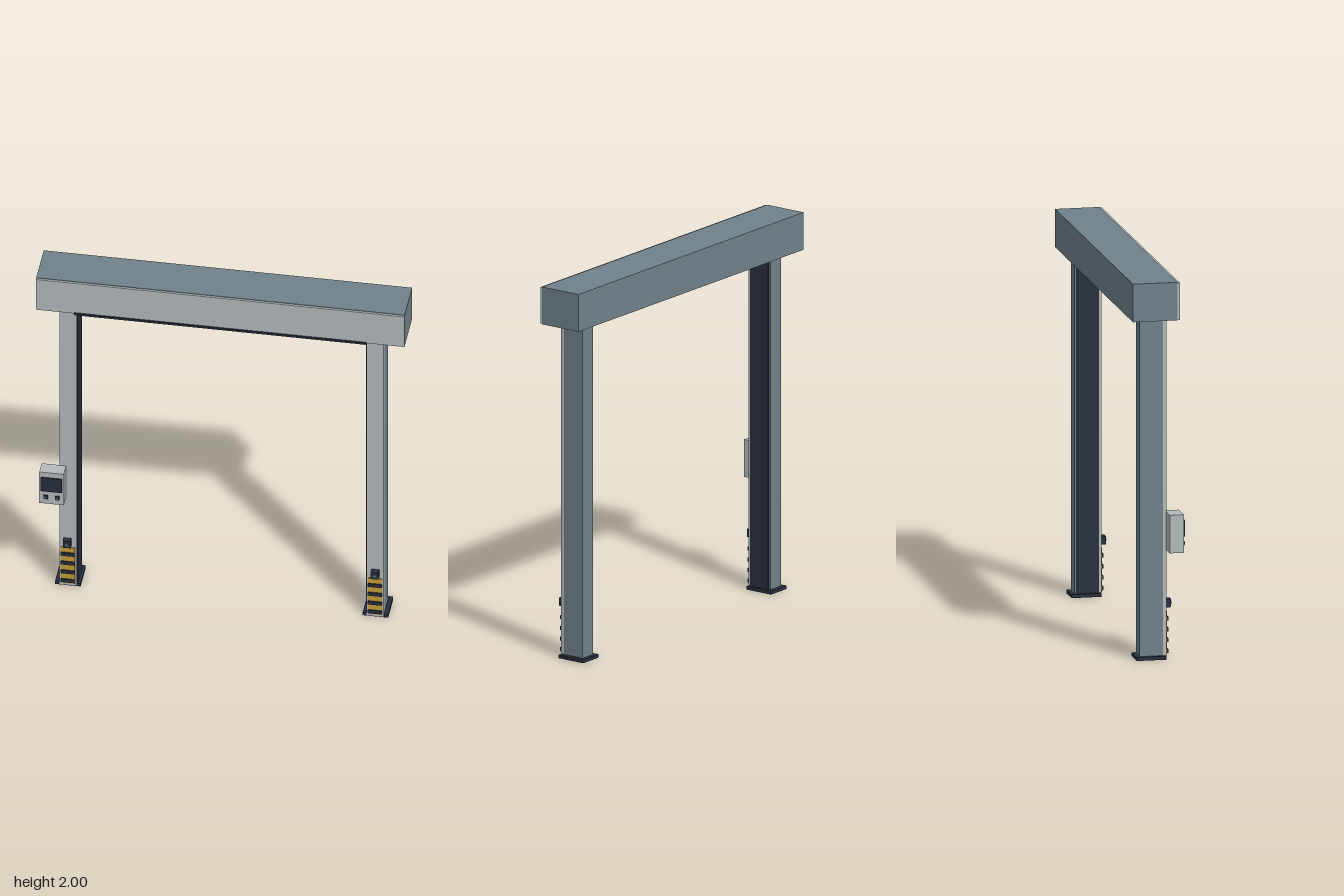
import * as THREE from 'three';

const mat = (name, color) => {
  const m = new THREE.MeshStandardMaterial({ color });
  m.name = name;
  return m;
};

export function createModel() {
  const steel = mat('blue grey steel', 0x70818a);
  const light = mat('light grey cladding', 0xb3bbbc);
  const dark = mat('dark rubber', 0x272f3d);
  const yellow = mat('safety yellow', 0xc79d38);
  const grey = mat('mid grey', 0x5c6b74);

  const model = new THREE.Group();
  model.name = 'rollUpDoorFrame';

  // Box given by its min and max on each axis
  const box = (parent, name, material, [x0, x1], [y0, y1], [z0, z1]) => {
    const mesh = new THREE.Mesh(new THREE.BoxGeometry(x1 - x0, y1 - y0, z1 - z0), material);
    mesh.position.set((x0 + x1) / 2, (y0 + y1) / 2, (z0 + z1) / 2);
    mesh.name = name;
    parent.add(mesh);
    return mesh;
  };

  // Header housing with its front cladding and lower seal
  const header = new THREE.Group();
  header.name = 'header';
  model.add(header);
  box(header, 'headerHousing', steel, [-0.96, 0.96], [1.8, 2], [-0.14, 0.094]);
  box(header, 'headerFrontPanel', light, [-0.96, 0.96], [1.802, 1.997], [0.094, 0.106]);
  box(header, 'headerSeal', dark, [-0.76, 0.76], [1.797, 1.808], [0.1, 0.114]);

  // Rolled-up curtain edge with a striped bottom bar
  const curtain = new THREE.Group();
  curtain.name = 'curtain';
  model.add(curtain);
  box(curtain, 'curtainEdge', light, [-0.75, 0.75], [1.78, 1.805], [-0.008, 0.008]);
  box(curtain, 'bottomBar', dark, [-0.75, 0.75], [1.76, 1.787], [-0.02, 0.02]);
  box(curtain, 'bottomBarStripe', yellow, [-0.75, 0.75], [1.765, 1.777], [0.02, 0.024]);

  // Two mirrored columns
  for (const side of [-1, 1]) {
    const column = new THREE.Group();
    column.name = side < 0 ? 'rightColumn' : 'leftColumn';
    model.add(column);
    const sx = (a, b) => (side > 0 ? [a, b] : [-b, -a]);
    box(column, 'basePlate', dark, sx(0.735, 0.868), [0, 0.018], [-0.1, 0.057]);
    box(column, 'post', steel, sx(0.757, 0.845), [0.01, 1.8], [-0.08, 0.042]);
    box(column, 'postFrontPanel', light, sx(0.755, 0.845), [0.004, 1.8], [0.042, 0.06]);
    box(column, 'guideRail', dark, sx(0.75, 0.757), [0.018, 1.8], [-0.07, 0.046]);

    // Hazard panel with raised bands
    box(column, 'hazardPanel', yellow, sx(0.764, 0.836), [0.02, 0.25], [0.06, 0.066]);
    for (let i = 0; i < 4; i++) {
      const y = 0.038 + i * 0.057;
      box(column, 'hazardBand', dark, sx(0.764, 0.836), [y - 0.01, y + 0.01], [0.06, 0.073]);
    }

    // Photo sensor
    box(column, 'sensor', dark, sx(0.782, 0.822), [0.265, 0.308], [0.06, 0.09]);
    const lens = new THREE.Mesh(new THREE.CylinderGeometry(0.009, 0.009, 0.005, 16), grey);
    lens.rotation.x = Math.PI / 2;
    lens.position.set(side * 0.802, 0.287, 0.092);
    lens.name = 'sensorLens';
    column.add(lens);
  }

  // Control box on the right column
  const control = new THREE.Group();
  control.name = 'controlBox';
  model.add(control);
  box(control, 'controlHousing', light, [-0.938, -0.81], [0.573, 0.773], [0.058, 0.132]);
  box(control, 'controlScreen', dark, [-0.929, -0.82], [0.655, 0.742], [0.132, 0.139]);
  for (const x of [-0.904, -0.844]) {
    box(control, 'buttonRim', dark, [x - 0.011, x + 0.011], [0.607, 0.629], [0.132, 0.141]);
    box(control, 'button', grey, [x - 0.007, x + 0.007], [0.611, 0.625], [0.141, 0.144]);
  }

  return model;
}
